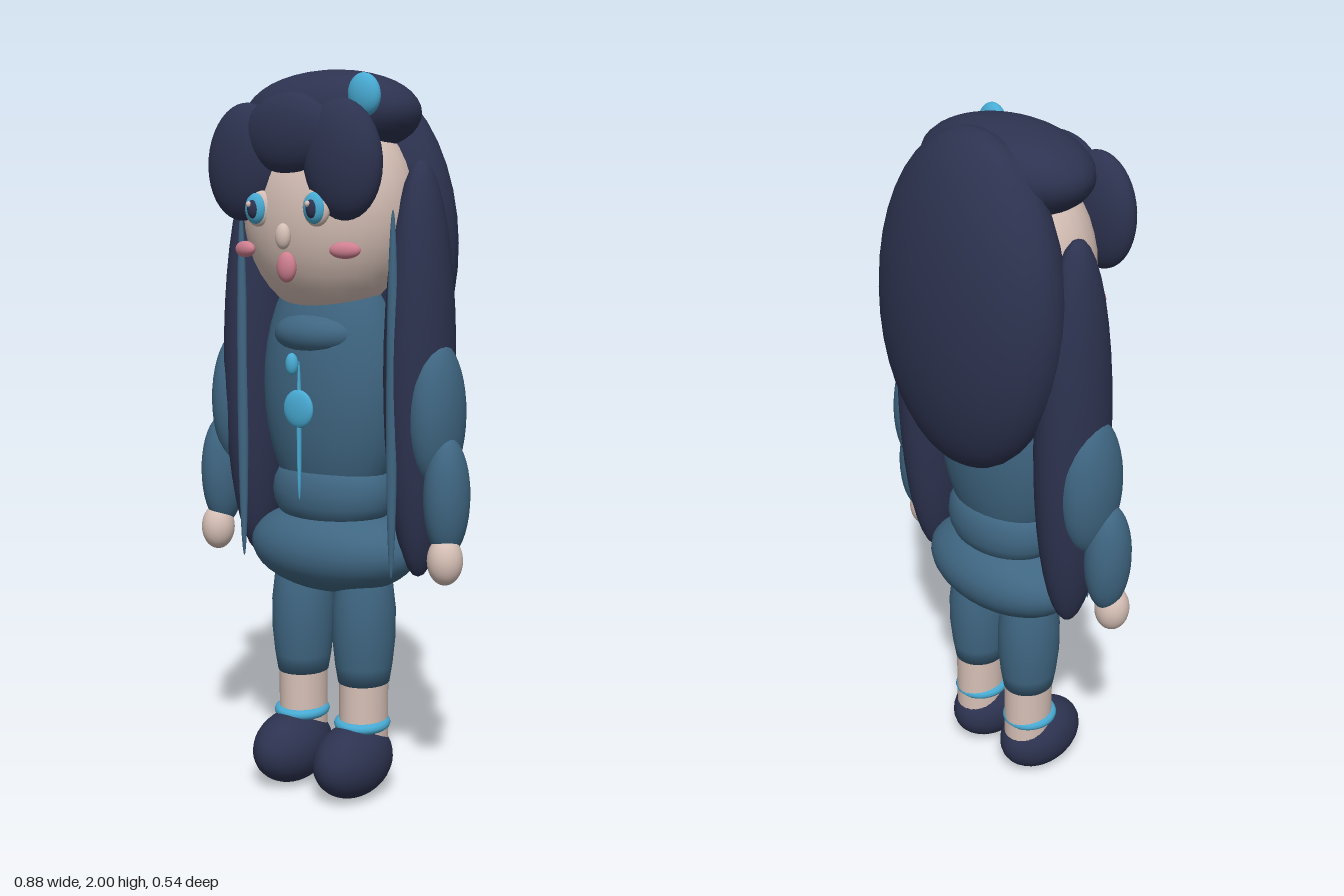
import * as THREE from 'three';

const material = (name, color) => {
  const m = new THREE.MeshStandardMaterial({ color });
  m.name = name;
  return m;
};

export function createModel() {
  const hair = material('navy hair', 0x2d3350);
  const cloth = material('teal cloth', 0x3f6682);
  const skin = material('pale skin', 0xd6c0b6);
  const cyan = material('bright cyan', 0x48abd4);
  const pink = material('rose pink', 0xcf7f90);

  const model = new THREE.Group();
  model.name = 'doll';
  const sphere = new THREE.SphereGeometry(1, 28, 20);

  const add = (name, geometry, mat, pos, scale = [1, 1, 1], rot = [0, 0, 0]) => {
    const mesh = new THREE.Mesh(geometry, mat);
    mesh.name = name;
    mesh.position.set(...pos);
    mesh.scale.set(...scale);
    mesh.rotation.set(...rot);
    model.add(mesh);
    return mesh;
  };
  const blob = (name, mat, pos, radii, rot) => add(name, sphere, mat, pos, radii, rot);

  // Head, cap of hair and long back hair
  blob('head', skin, [0, 1.625, 0.03], [0.248, 0.288, 0.21]);
  blob('hairCap', hair, [0, 1.882, 0.02], [0.265, 0.118, 0.172]);
  blob('backHair', hair, [0, 1.54, -0.11], [0.31, 0.458, 0.163], [0.04, 0, 0]);

  // Fringe of three lobes with a hair clip
  blob('fringeRight', hair, [-0.155, 1.755, 0.205], [0.111, 0.155, 0.06], [0, 0.06, -0.1]);
  blob('fringeLeft', hair, [0.155, 1.755, 0.195], [0.111, 0.155, 0.06], [0, 0.12, 0.1]);
  blob('fringeMiddle', hair, [0, 1.825, 0.217], [0.138, 0.104, 0.05]);
  blob('hairClip', cyan, [0.2, 1.917, 0.163], [0.047, 0.055, 0.027], [0, 0, 0.2]);

  // Nose and mouth
  blob('nose', skin, [0, 1.56, 0.243], [0.022, 0.034, 0.018]);
  blob('mouth', pink, [0, 1.48, 0.228], [0.029, 0.04, 0.02]);

  // Torso, waist, skirt and collar
  blob('torso', cloth, [0, 1.15, 0.015], [0.213, 0.38, 0.148]);
  add('waistband', new THREE.TorusGeometry(0.135, 0.05, 14, 36).rotateX(Math.PI / 2),
    cloth, [0, 0.855, 0.015], [1, 1.5, 0.73]);
  blob('skirt', cloth, [0, 0.695, 0.015], [0.26, 0.126, 0.166]);
  blob('collar', cloth, [0, 1.297, 0.085], [0.132, 0.066, 0.092]);

  // Chest ornaments
  blob('collarBead', cyan, [0, 1.223, 0.207], [0.018, 0.03, 0.016]);
  blob('medallion', cyan, [0, 1.1, 0.178], [0.048, 0.052, 0.015]);
  blob('chestCord', cyan, [0, 1.04, 0.175], [0.006, 0.19, 0.008]);

  const legProfile = [[0, 0.32], [0.071, 0.32], [0.079, 0.37], [0.087, 0.45], [0.087, 0.53],
    [0.078, 0.61], [0.06, 0.67]].map(([x, y]) => new THREE.Vector2(x, y));
  const leg = new THREE.LatheGeometry(legProfile, 28);
  const ankle = new THREE.CylinderGeometry(0.066, 0.066, 0.2, 28);
  const cuff = new THREE.TorusGeometry(0.063, 0.015, 10, 32).rotateX(Math.PI / 2);

  // Paired parts, mirrored across x
  for (const [side, s] of [['left', 1], ['right', -1]]) {
    // Eye layers
    blob(side + 'EyeWhite', skin, [s * 0.095, 1.635, 0.225], [0.042, 0.05, 0.02]);
    blob(side + 'Iris', cyan, [s * 0.095, 1.633, 0.234], [0.033, 0.041, 0.02]);
    blob(side + 'Pupil', hair, [s * 0.095, 1.631, 0.244], [0.018, 0.026, 0.016]);
    blob(side + 'EyeGlint', skin, [s * 0.095 - 0.006, 1.643, 0.258], [0.007, 0.008, 0.007]);
    blob(side + 'Cheek', pink, [s * 0.163, 1.525, 0.195], [0.042, 0.022, 0.018], [0, s * 0.35, 0]);

    // Side lock and its ribbon
    blob(side + 'SideLock', hair, [s * 0.272, 1.2, 0], [0.09, 0.56, 0.115]);
    blob(side + 'Ribbon', cloth, [s * 0.25, 1.14, 0.103], [0.016, 0.49, 0.014]);

    // Arm
    blob(side + 'UpperArm', cloth, [s * 0.332, 1.09, 0.01], [0.07, 0.2, 0.1]);
    blob(side + 'Forearm', cloth, [s * 0.38, 0.877, 0.035], [0.06, 0.162, 0.07]);
    blob(side + 'Hand', skin, [s * 0.387, 0.71, 0.053], [0.048, 0.066, 0.049]);

    // Leg and shoe
    add(side + 'Leg', leg, cloth, [s * 0.105, 0, 0.015], [1, 1, 1.08]);
    add(side + 'Ankle', ankle, skin, [s * 0.105, 0.24, 0.015], [1, 1, 1.15]);
    add(side + 'AnkleCuff', cuff, cyan, [s * 0.105, 0.2, 0.022], [1, 1, 1.08]);
    blob(side + 'Shoe', hair, [s * 0.105, 0.103, 0.068], [0.097, 0.103, 0.142]);
  }

  return model;
}
